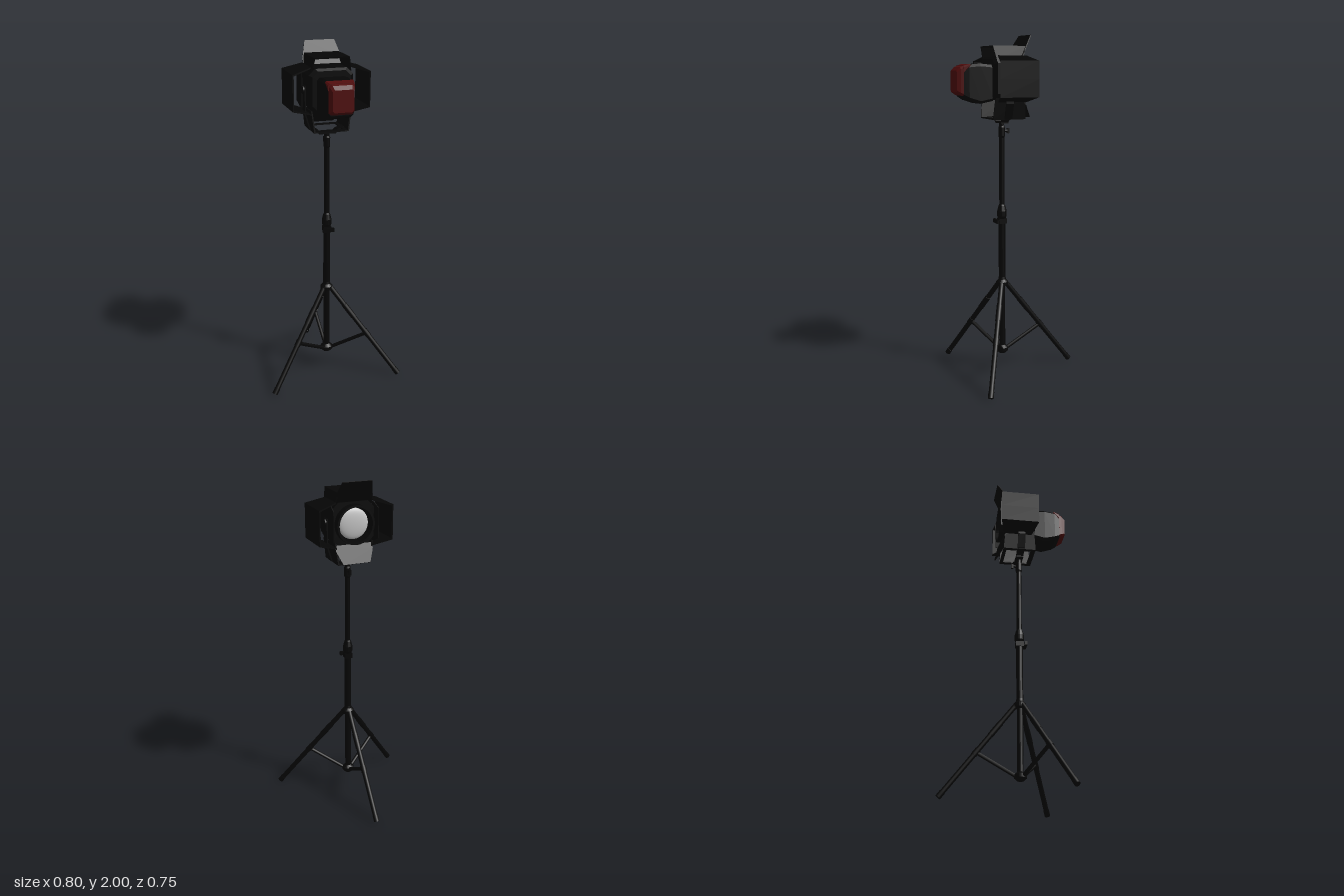
import * as THREE from 'three';

const black = new THREE.MeshStandardMaterial({ color: 0x060606 });
black.name = 'black metal';
const red = new THREE.MeshStandardMaterial({ color: 0x500c0c });
red.name = 'dark red';
const glass = new THREE.MeshStandardMaterial({ color: 0xc4c4c4 });
glass.name = 'pale lens';

const POLE_Z = 0.085;
const HEAD_Y = 1.757;
const V = (x, y, z) => new THREE.Vector3(x, y, z);
const toShape = points => new THREE.Shape(points.map(p => new THREE.Vector2(...p)));

function add(parent, name, geometry, material = black) {
  const m = new THREE.Mesh(geometry, material);
  m.name = name;
  parent.add(m);
  return m;
}

function box(parent, name, w, h, d, x, y, z) {
  const m = add(parent, name, new THREE.BoxGeometry(w, h, d));
  m.position.set(x, y, z);
  return m;
}

// Round bar between two points
function rod(parent, name, a, b, r, sides = 14) {
  const m = add(parent, name, new THREE.CylinderGeometry(r, r, a.distanceTo(b), sides));
  m.position.copy(a).add(b).multiplyScalar(0.5);
  m.quaternion.setFromUnitVectors(V(0, 1, 0), b.clone().sub(a).normalize());
  return m;
}

// Turned part with crisp edges; the profile runs with the solid on its inner side
function turned(profile, sides) {
  const g = new THREE.LatheGeometry(profile.map(p => new THREE.Vector2(...p)), sides).toNonIndexed();
  g.computeVertexNormals();
  return g;
}

// Flat-faced body through chamfered rectangles: [z, halfWidth, yLow, yHigh, chamfer]
function loft(sections) {
  const pos = [], index = [], n = 8;
  for (const [z, w, y0, y1, c] of sections) {
    for (const [x, y] of [[w, y0 + c], [w, y1 - c], [w - c, y1], [c - w, y1],
      [-w, y1 - c], [-w, y0 + c], [c - w, y0], [w - c, y0]]) pos.push(x, y, z);
  }
  const last = (sections.length - 1) * n;
  for (let s = 0; s < last; s += n) {
    for (let i = 0; i < n; i++) {
      const j = (i + 1) % n;
      index.push(s + i, s + j, s + n + j, s + i, s + n + j, s + n + i);
    }
  }
  for (let i = 1; i < n - 1; i++) index.push(0, i + 1, i, last, last + i, last + i + 1);
  const g = new THREE.BufferGeometry();
  g.setAttribute('position', new THREE.Float32BufferAttribute(pos, 3));
  g.setIndex(index);
  const flat = g.toNonIndexed();
  flat.computeVertexNormals();
  return flat;
}

// Hollow U-shaped cover, open at both ends, deeper on its outer face, optionally slotted
function shroud(w0, w1, h0, h1, z0, z1, inset, slot = 0) {
  const t = 0.007;
  const halves = [-1, 1].map(s => toShape([[w0, h0], [w1, h1], [slot, h1], [slot, h1 - t],
    [w1 - t, h1 - t], [w0 - t, h0]].map(([x, y]) => [s * x, y])));
  const g = new THREE.ExtrudeGeometry(halves, { depth: z1 - z0, bevelEnabled: false });
  g.translate(0, 0, z0);
  const p = g.attributes.position, mid = (z0 + z1) / 2;
  for (let i = 0; i < p.count; i++) {
    const k = Math.min(1, Math.max(0, (h1 - p.getY(i)) / (h1 - h0)));
    p.setZ(i, p.getZ(i) - Math.sign(p.getZ(i) - mid) * inset * k);
  }
  g.computeVertexNormals();
  return g;
}

// Thin trapezoid flap standing up from its hinge edge
function flap(w0, w1, height) {
  return new THREE.ExtrudeGeometry(toShape([[-w0, 0], [w0, 0], [w0, height * 0.3], [w1, height],
    [-w1, height], [-w0, height * 0.3]]), { depth: 0.005, bevelEnabled: false });
}

function buildStand() {
  const stand = new THREE.Group();
  stand.name = 'stand';
  stand.position.z = POLE_Z;

  // Telescopic pole with collars, turned as one profile
  add(stand, 'pole', turned([[0, 0.115], [0.02, 0.115], [0.036, 0.13], [0.036, 0.15], [0.018, 0.165],
    [0.018, 0.53], [0.036, 0.54], [0.036, 0.56], [0.023, 0.575], [0.02, 0.59], [0.02, 0.94],
    [0.028, 0.96], [0.028, 0.99], [0.02, 1.02], [0.0155, 1.03], [0.0155, 1.42], [0.019, 1.43],
    [0.019, 1.48], [0.015, 1.49], [0.015, 1.515], [0, 1.515]], 20));

  // Clamping knobs
  rod(stand, 'lowerKnobStem', V(0, 0.93, 0), V(0, 0.93, 0.036), 0.01);
  box(stand, 'lowerKnob', 0.07, 0.022, 0.014, 0, 0.93, 0.036);
  box(stand, 'lowerClamp', 0.046, 0.03, 0.046, 0, 0.93, 0);
  rod(stand, 'upperKnobStem', V(0, 1.46, 0), V(0, 1.46, -0.04), 0.007);
  box(stand, 'upperKnob', 0.014, 0.03, 0.012, 0, 1.46, -0.04);

  // Three legs with braces
  for (let i = 0; i < 3; i++) {
    const leg = new THREE.Group();
    leg.name = 'leg' + (i + 1);
    leg.rotation.y = i * Math.PI * 2 / 3;
    const at = t => V(0, 0.55 - 0.536 * t, -0.025 - 0.421 * t);
    rod(leg, 'legTube', at(0), at(1), 0.0148);
    rod(leg, 'legSleeve', at(0.2), at(0.34), 0.017);
    rod(leg, 'braceJoint', at(0.5), at(0.56), 0.0175);
    rod(leg, 'foot', at(0.95), at(1.006), 0.0165);
    rod(leg, 'brace', V(0, 0.14, -0.025), at(0.53), 0.011, 8);
    stand.add(leg);
  }
  return stand;
}

function buildHead() {
  const head = new THREE.Group();
  head.name = 'lampHead';

  // Main body and rear housing
  add(head, 'body', loft([[0, 0.125, 1.64, 1.88, 0.035], [0.155, 0.125, 1.64, 1.88, 0.035],
    [0.172, 0.108, 1.65, 1.868, 0.03]]));
  add(head, 'rearHousing', loft([[0.165, 0.083, 1.635, 1.835, 0.015], [0.24, 0.082, 1.62, 1.842, 0.015],
    [0.305, 0.077, 1.64, 1.836, 0.015], [0.336, 0.069, 1.66, 1.826, 0.012]]));

  // Red rear cover wrapping over the top edge
  add(head, 'rearCover', loft([[0.335, 0.07, 1.664, 1.829, 0.012], [0.352, 0.066, 1.67, 1.823, 0.012],
    [0.372, 0.058, 1.684, 1.803, 0.01]]), red);
  add(head, 'rearCoverTop', loft([[0.3, 0.079, 1.826, 1.84, 0.006],
    [0.336, 0.073, 1.785, 1.831, 0.01]]), red);

  // Lens barrel and domed lens facing the back
  const barrel = add(head, 'lensBarrel', turned([[0.112, 0], [0.112, 0.05], [0.1, 0.05],
    [0.088, 0]], 32));
  barrel.rotation.x = -Math.PI / 2;
  barrel.position.set(0, HEAD_Y, 0.004);
  const lens = add(head, 'lens', new THREE.SphereGeometry(0.089, 32, 10, 0, Math.PI * 2, 0, Math.PI / 2), glass);
  lens.rotation.x = -Math.PI / 2;
  lens.scale.y = 0.25;
  lens.position.set(0, HEAD_Y, 0);

  // Hollow covers on all four sides; the bottom one is slotted for the yoke
  const covers = [
    ['topCover', 0, shroud(0.115, 0.1, 0.105, 0.183, -0.02, 0.175, 0.018)],
    ['rightCover', -Math.PI / 2, shroud(0.13, 0.1, 0.11, 0.22, -0.053, 0.178, 0.03)],
    ['bottomCover', Math.PI, shroud(0.115, 0.1, 0.105, 0.227, -0.023, 0.175, 0.01, 0.075)],
    ['leftCover', Math.PI / 2, shroud(0.13, 0.1, 0.11, 0.22, -0.053, 0.178, 0.03)]];
  for (const [name, angle, geometry] of covers) {
    const c = add(head, name, geometry);
    c.rotation.z = angle;
    c.position.y = HEAD_Y;
  }
  box(head, 'bottomCoverRearBar', 0.152, 0.007, 0.027, 0, 1.5335, 0.1615);
  box(head, 'bottomCoverLensBar', 0.152, 0.007, 0.02, 0, 1.5335, -0.013);

  // Flaps hinged around the lens: [name, turn, hinge distance, hinge z, tilt, length, half widths]
  for (const [name, turn, dist, z, tilt, len, w0, w1] of [
    ['topFlap', 0, 0.118, 0.008, -0.51, 0.143, 0.112, 0.086],
    ['bottomFlap', Math.PI, 0.115, -0.005, -0.48, 0.113, 0.112, 0.082],
    ['rightFlap', -Math.PI / 2, 0.125, 0.03, -1.48, 0.077, 0.11, 0.085],
    ['leftFlap', Math.PI / 2, 0.125, 0.03, -1.48, 0.077, 0.11, 0.085]]) {
    const hinge = new THREE.Group();
    hinge.name = name;
    hinge.rotation.z = turn;
    hinge.position.y = HEAD_Y;
    const f = add(hinge, name + 'Plate', flap(w0, w1, len));
    f.position.set(0, dist, z);
    f.rotation.x = tilt;
    head.add(hinge);
  }

  // Yoke: a flat strap bent around the body, with pivot knobs
  const half = [[0.045, 1.505], [0.058, 1.522], [0.108, 1.535], [0.134, 1.62], [0.134, 1.78],
    [0.126, 1.78], [0.126, 1.622], [0.102, 1.543], [0.055, 1.53], [0.04, 1.516]];
  const outline = [...half, ...half.slice().reverse().map(([x, y]) => [-x, y])];
  add(head, 'yoke', new THREE.ExtrudeGeometry(toShape(outline),
    { depth: 0.045, bevelEnabled: false })).position.z = POLE_Z - 0.0225;
  box(head, 'yokeBase', 0.1, 0.012, 0.045, 0, 1.511, POLE_Z);
  for (const s of [-1, 1]) {
    rod(head, 'pivotKnob', V(s * 0.115, HEAD_Y, POLE_Z), V(s * 0.142, HEAD_Y, POLE_Z), 0.022);
  }
  return head;
}

export function createModel() {
  const model = new THREE.Group();
  model.name = 'studioLamp';
  model.add(buildStand(), buildHead());
  return model;
}
